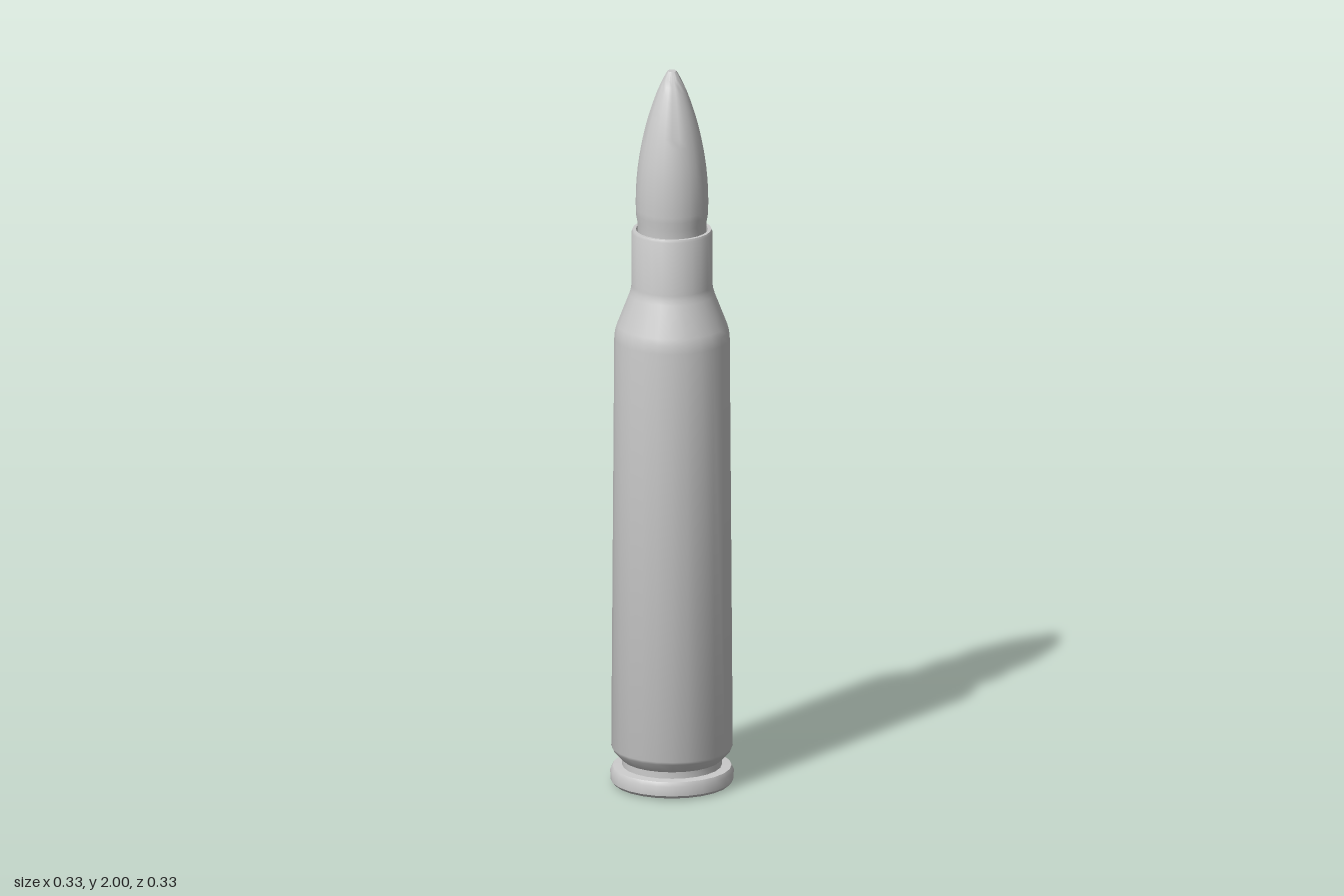
import * as THREE from 'three';
import { toCreasedNormals } from 'three/addons/utils/BufferGeometryUtils.js';

const SIDES = 24;

// Revolve a bottom-to-top [radius, y] profile, keeping sharp rings sharp
function turned(name, profile, material) {
  const points = profile.map(([r, y]) => new THREE.Vector2(r, y));
  const lathe = new THREE.LatheGeometry(points, SIDES, Math.PI / SIDES);
  const mesh = new THREE.Mesh(toCreasedNormals(lathe, 0.6), material);
  mesh.name = name;
  return mesh;
}

export function createModel() {
  const group = new THREE.Group();
  group.name = 'cartridge';
  const metal = new THREE.MeshStandardMaterial({ color: 0xcccccc });

  // Case: base ring, rim, extractor groove, tapered body, shoulder, neck, mouth
  group.add(turned('case', [
    [0.083, 0.012], [0.087, 0.004], [0.158, 0.004], [0.165, 0.012], [0.166, 0.038],
    [0.16, 0.05], [0.134, 0.052], [0.134, 0.07],
    [0.16, 0.098], [0.163, 0.106],
    [0.155, 1.25], [0.153, 1.272], [0.148, 1.29],
    [0.115, 1.375], [0.111, 1.388], [0.109, 1.4],
    [0.109, 1.549], [0.106, 1.556], [0.097, 1.556], [0.093, 1.53],
  ], metal));

  // Primer cap seated in the base
  group.add(turned('primer', [
    [0, 0], [0.074, 0], [0.08, 0.004], [0.083, 0.012],
  ], metal));

  // Bullet: crimp groove, straight shank, curved nose with a small flat tip
  const nose = new THREE.SplineCurve([
    [0.097, 1.6], [0.097, 1.66], [0.092, 1.73], [0.08, 1.805],
    [0.063, 1.875], [0.04, 1.943], [0.018, 1.99],
  ].map(([r, y]) => new THREE.Vector2(r, y))).getPoints(18).map((p) => [p.x, p.y]);
  group.add(turned('bullet', [
    [0.093, 1.53], [0.093, 1.578], ...nose, [0.012, 2], [0, 2],
  ], metal));

  return group;
}
